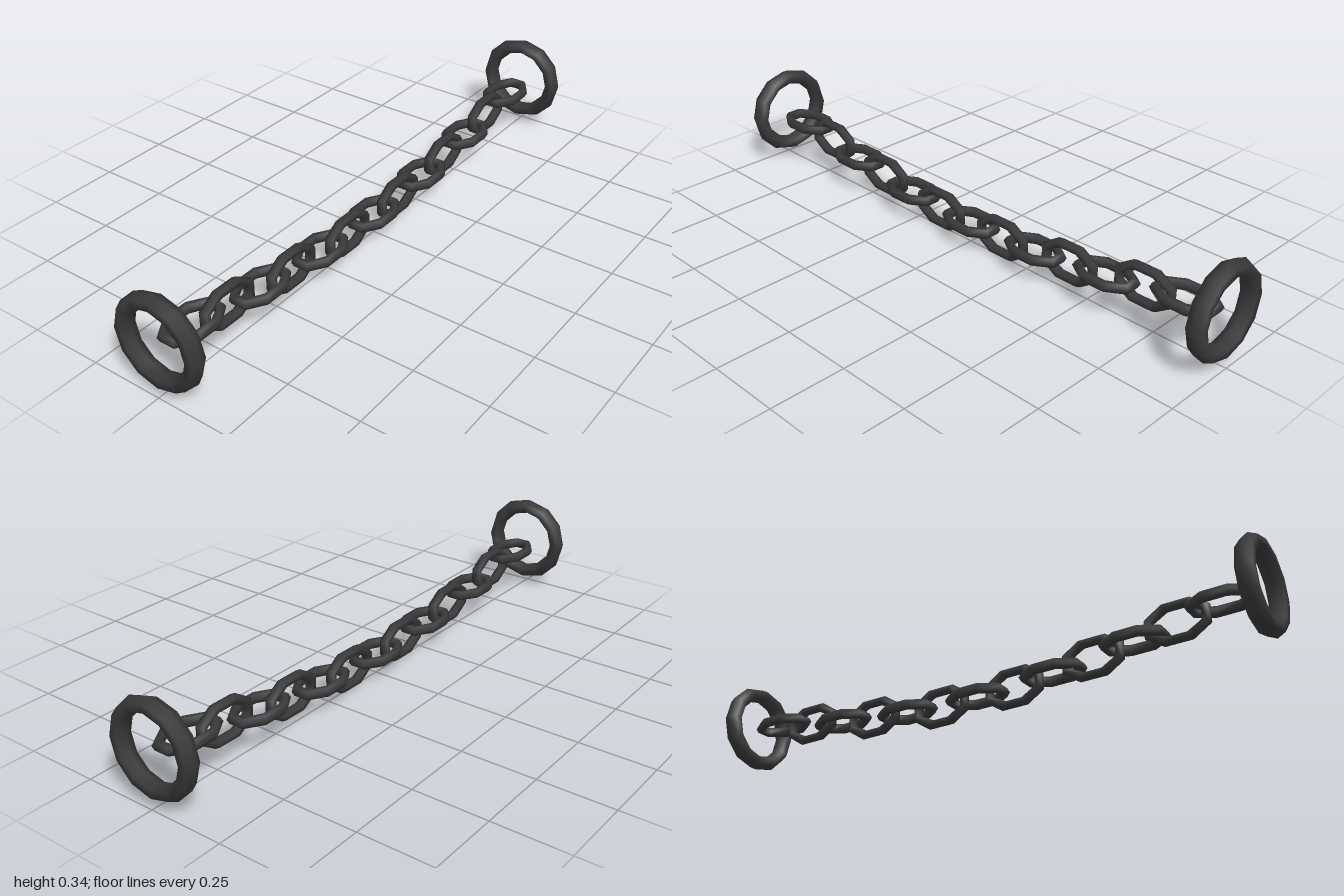
import * as THREE from 'three';
import { mergeVertices } from 'three/addons/utils/BufferGeometryUtils.js';

const iron = new THREE.MeshStandardMaterial({ color: 0x383838 });
iron.name = 'dark iron';

// Smooth low-poly loop: six-sided bar bent around an ellipse-like polygon in the XY plane
function loopGeometry(halfX, halfY, bar, thickness, sides, turn) {
  const g = new THREE.TorusGeometry(1, bar, 6, sides);
  g.rotateZ(turn);
  g.deleteAttribute('uv');
  g.deleteAttribute('normal');
  const p = g.attributes.position;
  const stretch = 1 / Math.cos(turn); // keeps the flats at the requested half sizes
  for (let i = 0; i < p.count; i++) {
    const x = p.getX(i), y = p.getY(i);
    const len = Math.hypot(x, y), u = len - 1;
    p.setXYZ(i,
      (halfX + u) * (x / len) * stretch,
      (halfY + u) * (y / len) * stretch,
      p.getZ(i) * thickness / (bar * Math.sin(Math.PI / 3)));
  }
  const merged = mergeVertices(g, 1e-5);
  merged.computeVertexNormals();
  return merged;
}

export function createModel() {
  const model = new THREE.Group();
  model.name = 'chain';

  // Large round end rings
  const ringGeo = loopGeometry(0.131, 0.131, 0.026, 0.027, 12, 0);
  ringGeo.rotateY(Math.PI / 2);
  for (const side of [-1, 1]) {
    const ring = new THREE.Mesh(ringGeo, iron);
    ring.name = side > 0 ? 'leftEndRing' : 'rightEndRing';
    ring.position.set(side * 0.973, 0.179, 0);
    model.add(ring);
  }

  // Sagging links, alternately lying flat and standing upright
  const linkGeo = loopGeometry(0.0915, 0.055, 0.0155, 0.015, 8, Math.PI / 8);
  const heights = [0.073, 0.0705, 0.085, 0.098, 0.117, 0.14, 0.166]; // middle to end
  for (let i = -6; i <= 6; i++) {
    const link = new THREE.Mesh(linkGeo, iron);
    const flat = i % 2 === 0;
    link.name = flat ? 'flatLink' : 'uprightLink';
    link.position.set(i * 0.1415, heights[Math.abs(i)], 0);
    if (flat) link.rotation.x = Math.PI / 2;
    model.add(link);
  }
  return model;
}
